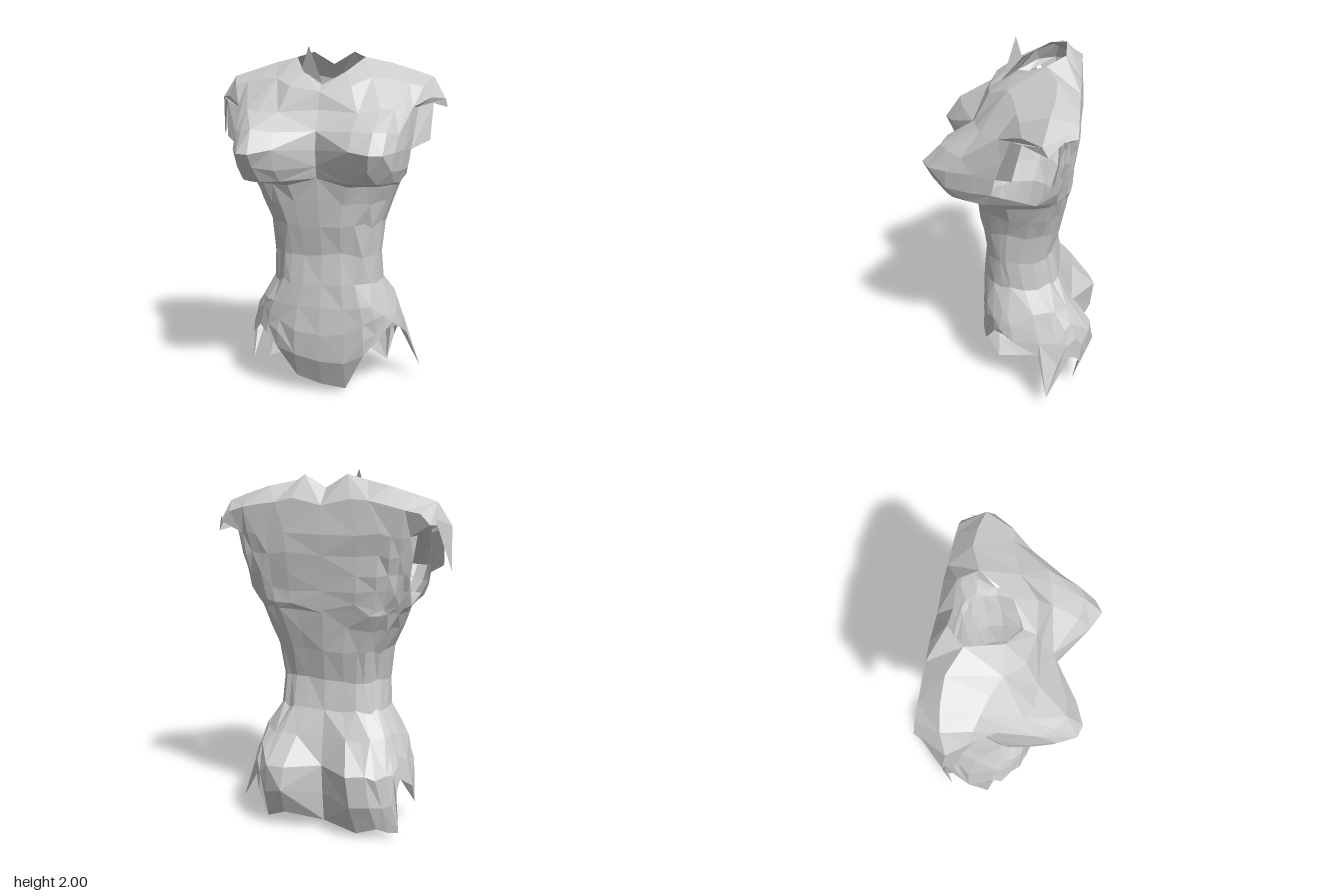
import * as THREE from 'three';

// Piecewise-linear lookup in a list of [y, value] keys
function key(list, y) {
  if (y <= list[0][0]) return list[0][1];
  for (let i = 1; i < list.length; i++) {
    const [y0, v0] = list[i - 1], [y1, v1] = list[i];
    if (y <= y1) return v0 + (v1 - v0) * (y - y0) / (y1 - y0);
  }
  return list[list.length - 1][1];
}

// Body profiles by height
const frontWidth = [[0, .52], [.1, .51], [.25, .48], [.4, .45], [.5, .42], [.68, .32], [.85, .31], [1.02, .33],
  [1.15, .38], [1.25, .42], [1.28, .445], [1.36, .485], [1.43, .5], [1.6, .52], [1.72, .54]];
const backWidth = [...frontWidth.slice(0, 11), [1.36, .49], [1.45, .52], [1.6, .57], [1.72, .59]];
const frontZ = [[0, .08], [.1, .16], [.25, .2], [.4, .21], [.5, .21], [.68, .19], [.85, .18], [1.02, .21],
  [1.15, .225], [1.25, .24], [1.43, .25], [1.58, .24], [1.7, .15], [1.78, .09]];
const backZ = [[0, -.3], [.1, -.31], [.35, -.33], [.5, -.3], [.68, -.25], [.83, -.23], [1.02, -.27],
  [1.25, -.31], [1.43, -.325], [1.65, -.35], [1.8, -.35]];
const sideZ = [[0, -.18], [.3, -.1], [.85, -.02], [1.28, -.1], [1.6, -.13]];
const frontSquare = [[.1, .95], [.5, .8], [1.1, .8], [1.3, .65]];
const backSquare = [[.4, .66], [.7, .8], [1.1, .8], [1.3, .65]];
const bust = [[1.25, 0], [1.285, .65], [1.45, 1], [1.55, .62], [1.66, .15], [1.78, 0]];

// Half of the columns: angle from front centre round the side to back centre, and leg hem heights
const angles = [0, 15, 30, 42, 54, 66, 78, 92, 112, 121, 130, 140, 150, 165, 180];
const hems = {
  left: [.05, .04, .27, .33, .42, .41, .38, .32, .08, .24, .3, .2, .04, .1, .05],
  right: [.05, .09, .28, .34, .4, .32, .38, .13, .35, .28, .03, .04, .05, .03, .05],
};
// Longest torn point of each leg hem: column and position
const hemPoint = { left: [8, .55, .08, -.21], right: [7, -.46, .12, -.04] };
const SIDE = 7;

// Neckline and shoulder line, where front and back columns meet
const shoulder = [[0, 1.79, .09], [.12, 1.86, .02], [.2, 1.94, -.16], [.34, 1.91, -.22],
  [.47, 1.87, -.22], [.59, 1.83, -.2], [.66, 1.71, -.17]];
const backNeck = [[.12, 1.97, -.25], [0, 1.9, -.25]];

const bell = (d, s) => Math.exp(-d * d / (2 * s * s));
// Flat between lo and hi, fading out on both sides
const plateau = (x, lo, hi, sLo, sHi) => x < lo ? bell(lo - x, sLo) : x > hi ? bell(x - hi, sHi) : 1;

// Point on the body at an angle and height
function bodyPoint(deg, y) {
  // back columns draw inward with height to open the armhole
  if (deg > 92) deg = 180 - (180 - deg) * key([[1.285, 1], [1.4, .88], [1.58, .8]], y);
  const a = deg * Math.PI / 180, front = deg < 90, e = key(front ? frontSquare : backSquare, y);
  const s = Math.pow(Math.abs(Math.sin(a)), e), c = Math.pow(Math.abs(Math.cos(a)), e);
  const mid = key(sideZ, y);
  const x = deg === 180 ? 0 : key(front ? frontWidth : backWidth, y) * s;
  let z = mid + (key(front ? frontZ : backZ, y) - mid) * c;
  if (front) z += .25 * key(bust, y) * plateau(x, .32, .4, .13, .055);
  else z -= .15 * plateau(x, .21, .27, .09, .12) * bell(y - .33, y > .33 ? .16 : .22);
  return new THREE.Vector3(x, y, z);
}

// Small fixed unevenness in the facets
function uneven(i, j, side) {
  const n = Math.sin(i * 12.99 + j * 78.23 + side * 3.7) * 437.58;
  return (n - Math.floor(n) - .5) * .03;
}

// Columns of points for one side of the body, bottom to top
function buildColumns(side, hem) {
  return angles.map((deg, i) => {
    const levels = [0, 1 / 3, 2 / 3, 1].map(t => hem[i] + (.55 - hem[i]) * t);
    levels.push(.68, .85, 1.02, 1.15, 1.25, 1.285);
    if (i !== SIDE) levels.push(1.36, 1.45, 1.55, 1.66);
    const col = levels.map((y, j) => {
      const p = bodyPoint(deg, y);
      // the crease under the bust rises at the middle, and stays crisp below each breast
      if (j === 8 || j === 9) p.y += i === 0 ? .045 : i < 6 ? 0 : uneven(i, 8, side);
      else if (i > 0 && i < 14) p.y += uneven(i, j, side);
      if (i > 0 && i < 14) p.z += uneven(j, i, side) * .7;
      p.x = p.x * side + .02 * bell(y - .8, .25);
      return p;
    });
    if (i !== SIDE) {
      const t = i > 12 ? backNeck[i - 13] : shoulder[Math.min(i, 14 - i)];
      const top = new THREE.Vector3(t[0] * side, t[1], t[2]);
      const m = col[col.length - 1].clone().lerp(top, .5);
      m.y += .03;
      if (i < SIDE) m.z += .02;
      else m.z = -.335;
      col.push(m, top);
    }
    return col;
  });
}

function addTriangle(out, a, b, c, side) {
  for (const p of side > 0 ? [a, b, c] : [c, b, a]) out.push(p.x, p.y, p.z);
}

// Quad, counter-clockwise from outside on the left half, reversed on the right
function addQuad(out, a, b, c, d, side, flip) {
  addTriangle(out, a, b, flip ? d : c, side);
  addTriangle(out, flip ? b : a, c, d, side);
}

function makeMesh(name, positions, material) {
  const g = new THREE.BufferGeometry();
  g.setAttribute('position', new THREE.Float32BufferAttribute(positions, 3));
  g.computeVertexNormals();
  const mesh = new THREE.Mesh(g, material);
  mesh.name = name;
  return mesh;
}

export function createModel() {
  const group = new THREE.Group();
  group.name = 'torso';
  const material = new THREE.MeshStandardMaterial({ color: 0xcccccc, flatShading: true, side: THREE.DoubleSide });

  for (const side of [1, -1]) {
    const label = side > 0 ? 'left' : 'right';
    const cols = buildColumns(side, hems[label]);
    const at = (x, y, z) => new THREE.Vector3(x * side, y, z);
    const [column, ...position] = hemPoint[label];
    cols[column][0].set(...position);

    // Shell with open neck, armholes and leg holes
    const shell = [];
    for (let i = 0; i < 14; i++) {
      const p = cols[i], q = cols[i + 1];
      for (let j = 0; j + 1 < Math.min(p.length, q.length); j++) {
        addQuad(shell, p[j], q[j], q[j + 1], p[j + 1], side, (i + j) % 2 === 1);
      }
    }
    // Armhole narrows to a point under the arm
    const front = cols[6], pit = cols[SIDE][9], back = cols[8];
    addTriangle(shell, front[9], pit, front[10], side);
    addTriangle(shell, pit, back[9], back[10], side);
    addTriangle(shell, pit, back[10], back[11], side);
    group.add(makeMesh(label + 'Body', shell, material));

    // Strip between the legs
    const strip = [], n = 4;
    const span = (a, b, t, narrow) => {
      const p = a.clone().lerp(b, t), sag = Math.sin(Math.PI * t);
      p.y = Math.max(0, p.y - .055 * sag);
      p.x *= 1 - narrow * sag;
      return p;
    };
    for (let k = 0; k < n; k++) {
      const t0 = k / n, t1 = (k + 1) / n;
      addQuad(strip, span(cols[0][0], cols[14][0], t0, 0), span(cols[0][0], cols[14][0], t1, 0),
        span(cols[1][0], cols[13][0], t1, .45), span(cols[1][0], cols[13][0], t0, .45), side, false);
    }
    group.add(makeMesh(label + 'Crotch', strip, material));

    // Ragged sleeve: flap in front of the armhole and a point hanging from the shoulder tip
    const sleeve = [], tip = front[15];
    const flapLow = at(.59, 1.49, -.02), flapHigh = at(.6, 1.69, -.07);
    addQuad(sleeve, front[11], flapLow, flapHigh, front[13], side, false);
    addQuad(sleeve, front[13], flapHigh, tip, front[14], side, false);
    addQuad(sleeve, flapHigh, at(.67, side > 0 ? 1.66 : 1.48, -.2), at(.6, 1.75, -.3), tip, side, true);
    group.add(makeMesh(label + 'SleeveEdge', sleeve, material));
  }

  // Torn corner standing up from the neckline
  const corner = [-.14, 1.87, -.01, 0, 1.8, .08, -.09, 2, .02];
  group.add(makeMesh('neckCorner', corner, material));
  return group;
}
